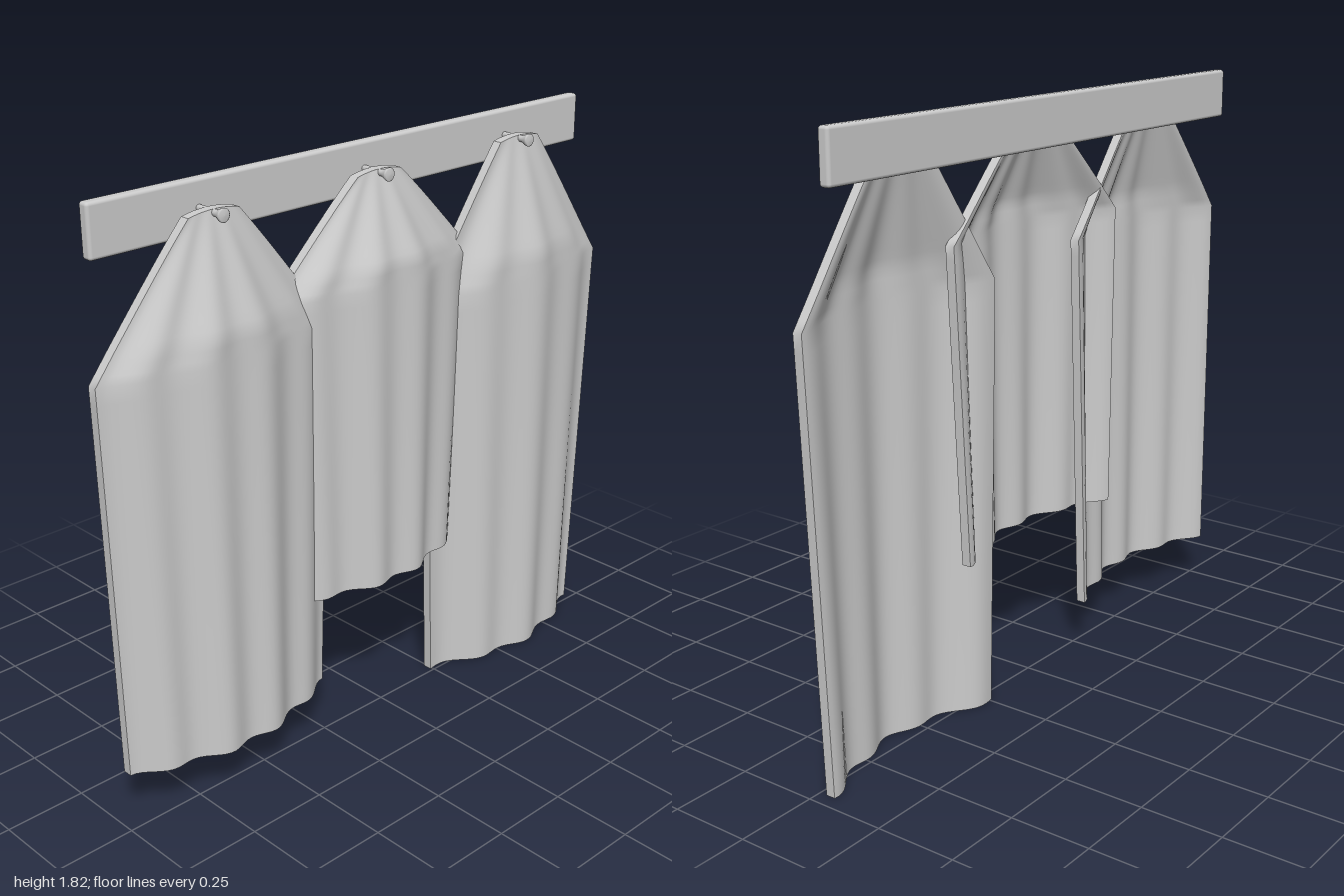
import * as THREE from 'three';
import { mergeGeometries } from 'three/addons/utils/BufferGeometryUtils.js';
import { RoundedBoxGeometry } from 'three/addons/geometries/RoundedBoxGeometry.js';

const TOP = 1.755;
const SHOULDER = 0.6; // share of the rows that lie below the shoulder
const lerp = THREE.MathUtils.lerp;

// Grid surface through point(s, t), facing ds x dt
function grid(point, ns, nt) {
  const pos = [], index = [];
  for (let j = 0; j <= nt; j++)
    for (let i = 0; i <= ns; i++) pos.push(...point(i / ns, j / nt));
  for (let j = 0; j < nt; j++)
    for (let i = 0; i < ns; i++) {
      const a = j * (ns + 1) + i, b = a + ns + 1;
      index.push(a, a + 1, b + 1, a, b + 1, b);
    }
  const g = new THREE.BufferGeometry();
  g.setAttribute('position', new THREE.Float32BufferAttribute(pos, 3));
  g.setIndex(index);
  g.computeVertexNormals();
  return g;
}

// Thick pleated cloth, gathered at its peg and bulging forward below it
function clothGeometry({ x, hem, shoulder, hemHalf, freq, phase }) {
  const point = (u, v, depth) => {
    const upper = Math.max(0, (v - SHOULDER) / (1 - SHOULDER));
    const lower = Math.min(1, v / SHOULDER);
    const half = upper > 0 ? lerp(0.4, 0.085, upper) : lerp(hemHalf, 0.4, lower);
    const y = upper > 0
      ? lerp(shoulder, TOP, upper) - 0.01 * u * u * upper ** 4
      : lerp(hem, shoulder, lower);
    const fullness = Math.min(1, (1 - upper) / 0.8);
    const dome = lerp(0.096, 0.088, lower) * Math.cos(u * Math.PI / 2) ** 1.2 * fullness;
    const pleat = lerp(0.014, 0.009, lower) * Math.cos(freq * u - phase) * fullness;
    const z = lerp(-0.016, -0.006, lower) + dome + pleat - 0.03 * depth;
    return [x + u * half, y, z];
  };
  const w = (s) => 2 * s - 1;
  return mergeGeometries([
    grid((s, t) => point(w(s), t, 0), 48, 40),  // front
    grid((s, t) => point(-w(s), t, 1), 48, 40), // back
    grid((s, t) => point(1, t, s), 1, 40),      // left edge
    grid((s, t) => point(-1, t, 1 - s), 1, 40), // right edge
    grid((s, t) => point(w(s), 1, t), 48, 1),   // top edge
    grid((s, t) => point(w(s), 0, 1 - t), 48, 1), // hem
  ]);
}

export function createModel() {
  const group = new THREE.Group();
  const material = new THREE.MeshStandardMaterial({ color: 0xcccccc });
  const add = (name, geometry, x = 0, y = 0, z = 0) => {
    const mesh = new THREE.Mesh(geometry, material);
    mesh.name = name;
    mesh.position.set(x, y, z);
    group.add(mesh);
    return mesh;
  };

  // Wall rail
  add('rail', new RoundedBoxGeometry(1.9, 0.152, 0.036, 3, 0.01), 0, 1.748, -0.087);

  // Pegs with flared ends
  const pegProfile = [[0, 0], [0.01, 0], [0.01, 0.08], [0.019, 0.101], [0.02, 0.106], [0.017, 0.109], [0, 0.11]]
    .map(([r, h]) => new THREE.Vector2(r, h));
  const pegGeometry = new THREE.LatheGeometry(pegProfile, 20).rotateX(Math.PI / 2);
  for (const x of [-0.6, 0, 0.6]) add('peg', pegGeometry, x, 1.745, -0.072);

  // Hanging cloths
  add('rightCloth', clothGeometry({ x: -0.6, hem: 0.16, shoulder: 1.36, hemHalf: 0.37, freq: 13, phase: Math.PI }));
  add('middleCloth', clothGeometry({ x: 0, hem: 0.48, shoulder: 1.435, hemHalf: 0.36, freq: 13, phase: 2.9 }));
  add('leftCloth', clothGeometry({ x: 0.6, hem: 0, shoulder: 1.31, hemHalf: 0.358, freq: 11, phase: 0.55 }));

  return group;
}
